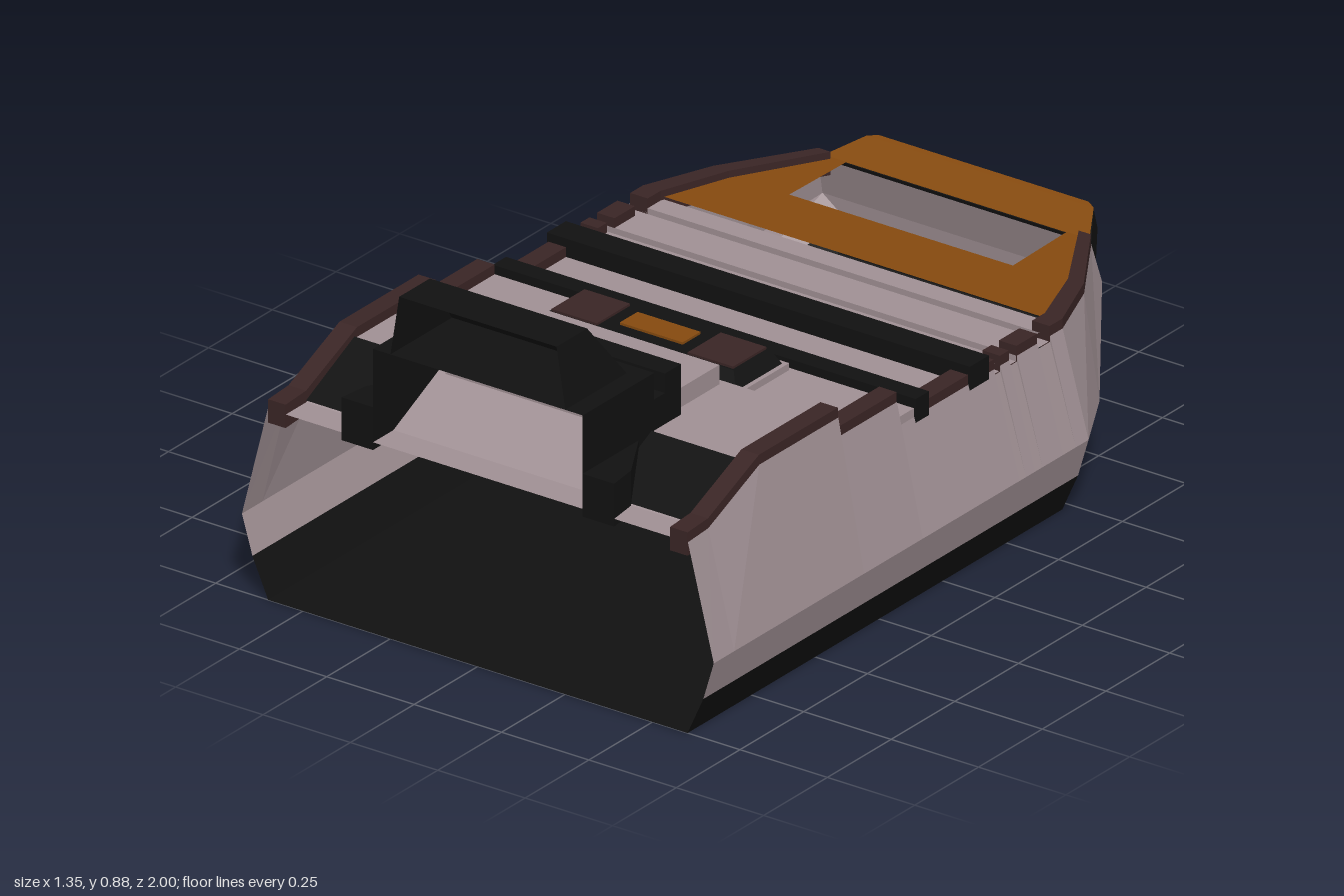
import * as THREE from 'three';

const mat = (name, color) =>
  new THREE.MeshStandardMaterial({ name, color, side: THREE.DoubleSide });

export function createModel() {
  const root = new THREE.Group();
  root.name = 'ship';
  const grey = mat('hull grey', 0xa09094);
  const black = mat('black', 0x111111);
  const brown = mat('dark brown', 0x3a2525);
  const orange = mat('deck orange', 0x854a0f);

  const add = (name, geo, material) => {
    const m = new THREE.Mesh(geo, material);
    m.name = name;
    root.add(m);
    return m;
  };

  // Flat-shaded surface through successive rows of points
  const loft = (rows, closed = false) => {
    const p = [];
    for (let i = 0; i < rows.length - 1; i++) {
      const n = rows[i].length;
      for (let j = 0; j < (closed ? n : n - 1); j++) {
        const k = (j + 1) % n;
        const a = rows[i][j], b = rows[i][k], c = rows[i + 1][k], d = rows[i + 1][j];
        p.push(...a, ...b, ...c, ...a, ...c, ...d);
      }
    }
    if (closed) {
      for (const r of [rows[0], rows[rows.length - 1]])
        for (let j = 1; j < r.length - 1; j++) p.push(...r[0], ...r[j], ...r[j + 1]);
    }
    const g = new THREE.BufferGeometry();
    g.setAttribute('position', new THREE.Float32BufferAttribute(p, 3));
    g.computeVertexNormals();
    return g;
  };
  // Box given by its limits
  const box = (name, x0, x1, y0, y1, z0, z1, material) => {
    const g = new THREE.BoxGeometry(x1 - x0, y1 - y0, z1 - z0);
    g.translate((x0 + x1) / 2, (y0 + y1) / 2, (z0 + z1) / 2);
    return add(name, g, material);
  };
  const flip = ([x, y, z]) => [-x, y, z];

  // Rail runs as [z, top, outer x, inner x]; gaps between runs are notches
  const R = (z, y, o = 0.6, i = 0.55) => [z, y, o, i];
  const runs = [
    [R(1, 0.515), R(0.92, 0.52), R(0.72, 0.605), R(0.41, 0.605), R(0.41, 0.555),
      R(0.18, 0.555), R(0.18, 0.49), R(0.17, 0.49)],
    [R(0.11, 0.49), R(-0.2, 0.49)],
    [R(-0.225, 0.49), R(-0.26, 0.49)],
    [R(-0.29, 0.49), R(-0.37, 0.49)],
    [R(-0.42, 0.49), R(-0.47, 0.49), R(-0.65, 0.49, 0.53, 0.485), R(-0.87, 0.49, 0.39, 0.355)],
  ];

  // Hull sections: bottom, chine, knuckle, top edge
  const section = (z, top) =>
    [[0.6, 0, z], [0.645, 0.1, z], [0.675, 0.2, z], [0.601, top, z]];
  const hull = [];
  runs.forEach((run, i) => {
    const low = i === 1 ? 0.465 : 0.45;
    if (i > 0) hull.push(section(runs[i - 1].at(-1)[0], low), section(run[0][0], low));
    for (const [z, y] of run) if (z > -0.5) hull.push(section(z, y - 0.025));
  });
  hull.push(
    [[0.5, 0, -0.65], [0.545, 0.1, -0.65], [0.575, 0.2, -0.65], [0.531, 0.465, -0.65]],
    [[0.34, 0.23, -0.88], [0.34, 0.31, -0.905], [0.4, 0.36, -0.9], [0.391, 0.465, -0.87]],
  );
  const stern = hull.at(-1);

  add('hullBottom', loft(hull.map(([b, c]) => [flip(c), flip(b), b, c])), black);
  add('lowerTransom', loft(stern.slice(0, 2).map((p) => [flip(p), p])), black);
  add('upperTransom', loft(stern.slice(1).map((p) => [flip(p), p])), grey);

  for (const s of [1, -1]) {
    const side = s > 0 ? 'left' : 'right';
    const m = ([x, y, z]) => [s * x, y, z];
    add(side + 'HullSide', loft(hull.map((r) => r.slice(1).map(m))), grey);

    // Capping rails
    runs.forEach((run, i) => add(side + 'Rail' + (i + 1), loft(run.map(([z, y, o, n]) =>
      [[o, y - 0.06, z], [o, y, z], [n, y, z], [n, y - 0.06, z]].map(m)), true), brown));
    box(side + 'RailFiller', Math.min(s * 0.55, s * 0.6), Math.max(s * 0.55, s * 0.6),
      0.45, 0.487, 0.11, 0.17, grey);

    // Black panels on the ramp beside the tower
    add(side + 'RampPanel', loft([
      [[0.3, 0.495, 0.92], [0.55, 0.495, 0.92]],
      [[0.3, 0.585, 0.73], [0.55, 0.585, 0.73]],
    ].map((r) => r.map(m))), black);

    // Flared tower foot
    const plan = [[0.39, 1], [0.38, 0.92], [0.3, 0.78]];
    const foot = (y) => [...plan.map(([x, z]) => [x, y, z]), [0.3, y, 1]].map(m);
    add(side + 'TowerFoot', loft([foot(0.47), foot(0.58)], true), black);
  }

  // Stepped deck with cross grooves
  const deck = [[1, 0.49], [0.92, 0.49], [0.73, 0.58], [0.41, 0.58], [0.41, 0.53],
    [0.18, 0.53], [0.18, 0.465]];
  for (const [a, b] of [[-0.2, -0.225], [-0.26, -0.29], [-0.37, -0.42]])
    deck.push([a, 0.465], [a, 0.45], [b, 0.45], [b, 0.465]);
  deck.push([-0.48, 0.465]);
  add('deck', loft(deck.map(([z, y]) => [[-0.598, y, z], [0.598, y, z]])), grey);
  box('raisedPanel', -0.275, 0.275, 0.575, 0.63, 0.43, 0.75, grey);
  box('frontCrossBar', -0.605, 0.605, 0.45, 0.512, 0.06, 0.112, black);
  box('rearCrossBar', -0.605, 0.605, 0.45, 0.512, -0.175, -0.1, black);

  // Orange rear deck with an open well
  const shape = new THREE.Shape([[0.56, 0.48], [0.49, 0.65], [0.365, 0.88],
    [-0.365, 0.88], [-0.49, 0.65], [-0.56, 0.48]].map((p) => new THREE.Vector2(...p)));
  shape.holes.push(new THREE.Path([[-0.32, 0.66], [-0.315, 0.875], [0.315, 0.875],
    [0.32, 0.66]].map((p) => new THREE.Vector2(...p))));
  const rear = new THREE.ShapeGeometry(shape);
  rear.rotateX(-Math.PI / 2);
  rear.translate(0, 0.472, 0);
  add('rearDeck', rear, orange);

  // Stern ledge, orange on top
  const ledge = (x, y0, z0, y1, z1) =>
    [[-x, y0, z0], [-x, y1, z1], [x, y1, z1], [x, y0, z0]];
  add('sternLedge', loft([
    ledge(0.385, 0.39, -0.895, 0.468, -0.878),
    ledge(0.325, 0.443, -0.985, 0.497, -0.97),
    ledge(0.3, 0.45, -1, 0.5, -0.985),
  ], true), black);
  add('sternLedgeTop', loft([
    [[-0.38, 0.472, -0.878], [0.38, 0.472, -0.878]],
    [[-0.325, 0.501, -0.97], [0.325, 0.501, -0.97]],
    [[-0.3, 0.504, -0.984], [0.3, 0.504, -0.984]],
  ]), orange);

  // Deck hatch
  const plate = (x, y, z0, z1) => [[-x, y, z0], [x, y, z0], [x, y, z1], [-x, y, z1]];
  box('hatchBase', -0.3, 0.3, 0.525, 0.548, 0.19, 0.395, grey);
  add('hatch', loft([plate(0.29, 0.545, 0.2, 0.385), plate(0.265, 0.586, 0.22, 0.36)], true), black);
  box('hatchRightPanel', -0.26, -0.13, 0.583, 0.592, 0.225, 0.355, brown);
  box('hatchLeftPanel', 0.13, 0.26, 0.583, 0.592, 0.225, 0.355, brown);
  box('hatchLight', -0.09, 0.09, 0.583, 0.592, 0.25, 0.32, orange);

  // Tower: hollow lower storey, sloped cabin, rear shelf and bar
  const arch = (x0, y0, x1, y1, z) => [[-x0, y0, z], [-x1, y1, z], [x1, y1, z], [x0, y0, z]];
  add('towerBase', loft([arch(0.3, 0.49, 0.3, 0.73, 1), arch(0.3, 0.49, 0.3, 0.73, 0.92),
    arch(0.3, 0.57, 0.3, 0.73, 0.72)]), black);
  add('cabin', loft([arch(0.25, 0.73, 0.225, 0.885, 1), arch(0.25, 0.73, 0.225, 0.885, 0.88),
    arch(0.25, 0.73, 0.25, 0.731, 0.76)]), black);
  box('towerBackWall', -0.3, 0.3, 0.58, 0.73, 0.72, 0.735, black);
  box('towerShelf', -0.298, 0.298, 0.58, 0.66, 0.67, 0.72, black);
  box('towerBar', -0.298, 0.298, 0.58, 0.71, 0.612, 0.675, black);

  return root;
}
